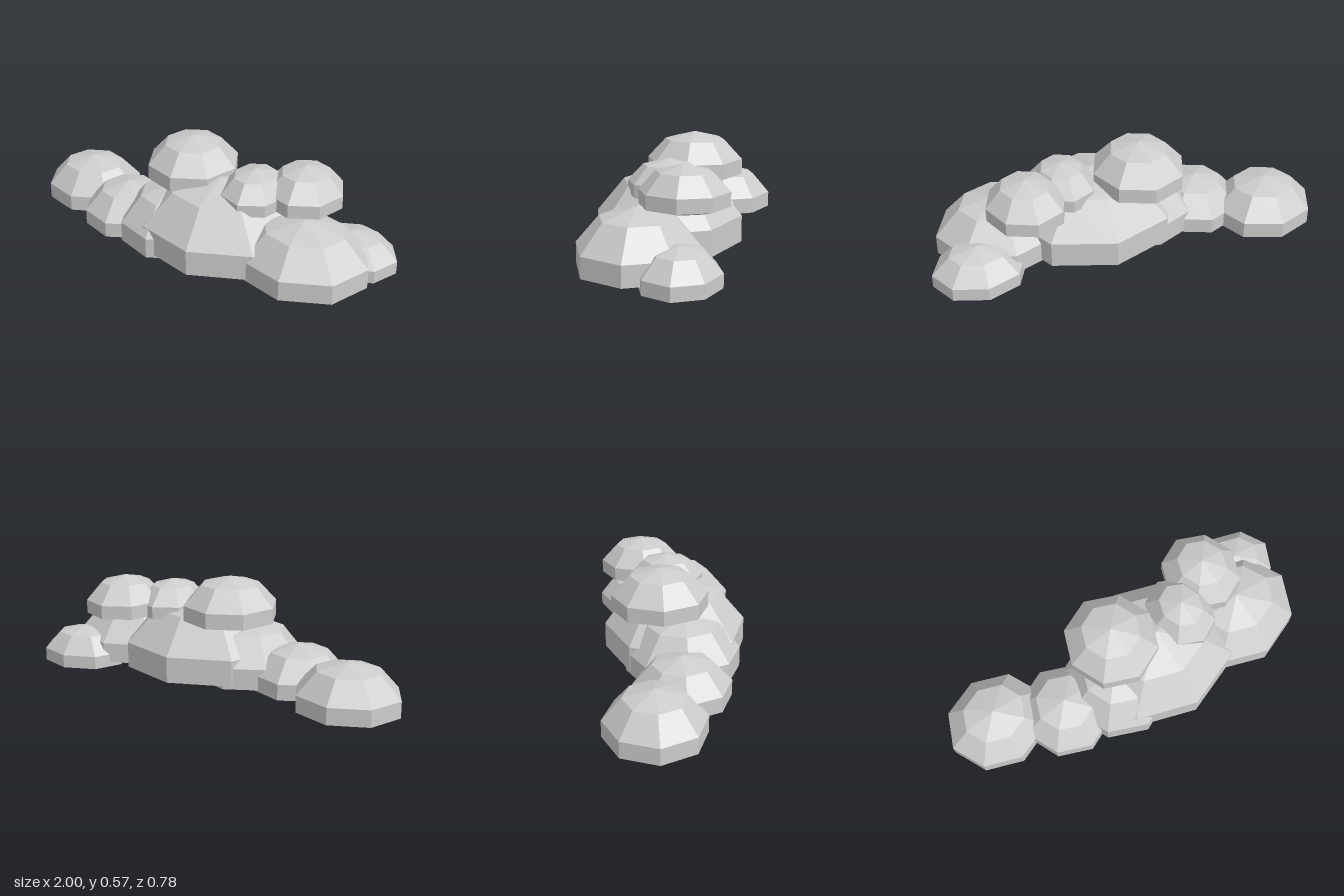
import * as THREE from 'three';

// Faceted puff: a coarse sphere whose lower half is squashed into a shallow base
function puffGeometry(rx, h, rz, squash = 0.25) {
  const sphere = new THREE.SphereGeometry(1, 8, 5);
  const p = sphere.attributes.position;
  for (let i = 0; i < p.count; i++) {
    const y = p.getY(i);
    p.setXYZ(i, p.getX(i) * rx, y * h * (y < 0 ? squash : 1), p.getZ(i) * rz);
  }
  const flat = sphere.toNonIndexed();
  flat.computeVertexNormals(); // one normal per facet
  return flat;
}

export function createModel() {
  const cloud = new THREE.Group();
  cloud.name = 'cloud';
  const cloudGrey = new THREE.MeshStandardMaterial({ color: 0xcccccc });
  cloudGrey.name = 'cloudGrey';

  // name, centre x y z, radii x y z
  const puffs = [
    // lower layer
    ['leftEndPuff', -0.74, 0.06, -0.15, 0.273, 0.212, 0.252],
    ['leftInnerPuff', -0.42, 0.063, 0.005, 0.245, 0.203, 0.25],
    ['leftFrontPuff', -0.13, 0.075, 0.04, 0.285, 0.27, 0.3],
    ['centrePuff', 0.13, 0.095, 0.025, 0.45, 0.335, 0.38],
    ['rightFrontPuff', 0.6, 0.083, 0.075, 0.345, 0.26, 0.305],
    ['rightRearPuff', 0.77, 0.052, -0.145, 0.241, 0.17, 0.2],
    // upper layer
    ['upperLeftPuff', -0.075, 0.379, -0.07, 0.245, 0.196, 0.252],
    ['upperMiddlePuff', 0.3, 0.345, -0.005, 0.175, 0.16, 0.205],
    ['upperRightPuff', 0.515, 0.349, -0.12, 0.205, 0.174, 0.222],
  ];
  for (const [name, x, y, z, rx, h, rz] of puffs) {
    const mesh = new THREE.Mesh(puffGeometry(rx, h, rz), cloudGrey);
    mesh.name = name;
    mesh.position.set(x, y, z);
    cloud.add(mesh);
  }
  return cloud;
}
